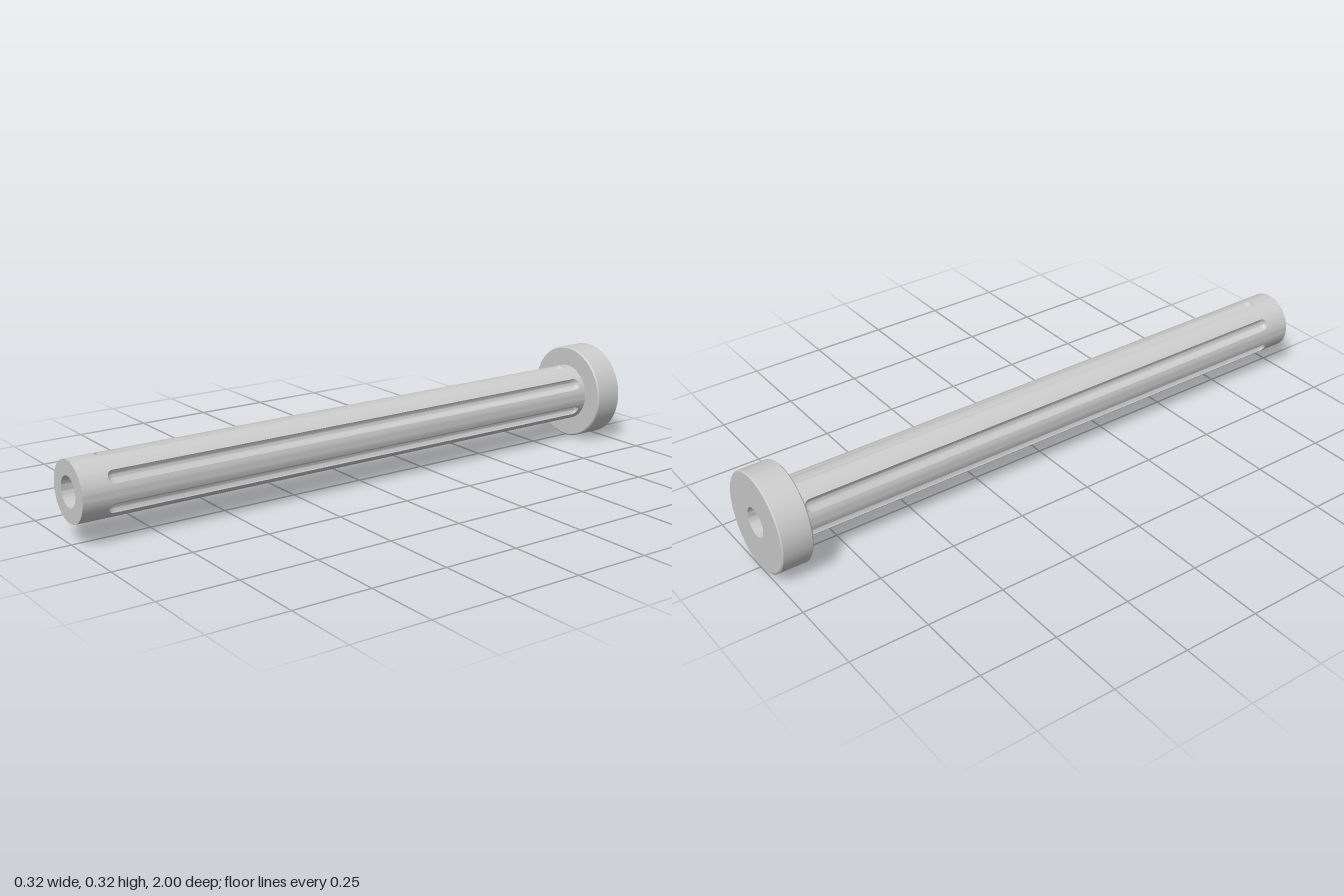
import * as THREE from 'three';
import { toCreasedNormals } from 'three/addons/utils/BufferGeometryUtils.js';

const HEAD_R = 0.158, SHAFT_R = 0.094, BORE_R = 0.047;
const BACK = -1, SHOULDER = -0.9, FRONT = 1;
const SLOTS = 6, SLOT_W = 0.02, SLOT_D = 0.016;
const SLOT_BACK = -0.88, SLOT_FRONT = 0.915;

const material = new THREE.MeshStandardMaterial({ color: 0xcccccc });

function addMesh(group, name, geometry) {
  const mesh = new THREE.Mesh(toCreasedNormals(geometry, 0.6), material);
  mesh.name = name;
  group.add(mesh);
}

// Profile of [radius, z] pairs turned about the z axis
function turned(profile) {
  const points = profile.map(([r, z]) => new THREE.Vector2(r, z));
  return new THREE.LatheGeometry(points, 72).rotateX(Math.PI / 2);
}

// Cylinder skin with round-ended, round-bottomed grooves sunk into it
function flutedShaft() {
  const steps = 6;
  const levels = [];
  for (let i = 0; i <= steps; i++) levels.push(SLOT_W * Math.cos((i / steps) * Math.PI / 2));

  // Columns: across each groove, then across the land to the next one
  const columns = [];
  const pitch = (2 * Math.PI) / SLOTS;
  const half = SLOT_W / SHAFT_R;
  for (let s = 0; s < SLOTS; s++) {
    const across = [...levels.map((u) => -u), ...levels.slice(0, -1).reverse()];
    across.forEach((u) => columns.push({ angle: s * pitch + u / SHAFT_R, u: Math.abs(u) }));
    for (let i = 1; i < 8; i++) {
      columns.push({ angle: s * pitch + half + (i / 8) * (pitch - 2 * half), u: SLOT_W });
    }
  }

  // Rows: nested contours of the groove's rounded ends
  const rows = [{ z: SHOULDER }];
  levels.forEach((w) => rows.push({ z: SLOT_BACK + SLOT_W, w, dir: -1 }));
  [...levels].reverse().forEach((w) => rows.push({ z: SLOT_FRONT - SLOT_W, w, dir: 1 }));
  rows.push({ z: FRONT });

  const positions = [], index = [];
  for (const row of rows) {
    for (const { angle, u } of columns) {
      let z = row.z, r = SHAFT_R;
      if (row.dir) {
        z += row.dir * Math.sqrt(Math.max(0, row.w ** 2 - u ** 2));
        const d = Math.min(1, Math.max(u, row.w) / SLOT_W);
        r -= SLOT_D * Math.sqrt(1 - d * d);
      }
      positions.push(r * Math.sin(angle), r * Math.cos(angle), z);
    }
  }

  // Skip triangles that collapse where contours meet
  const triangle = new THREE.Triangle();
  const point = (v, i) => v.fromArray(positions, i * 3);
  const addFace = (a, b, c) => {
    point(triangle.a, a);
    point(triangle.b, b);
    point(triangle.c, c);
    if (triangle.getArea() > 1e-10) index.push(a, b, c);
  };
  const n = columns.length;
  for (let k = 0; k < rows.length - 1; k++) {
    for (let j = 0; j < n; j++) {
      const a = k * n + j, b = k * n + ((j + 1) % n);
      addFace(a, a + n, b);
      addFace(b, a + n, b + n);
    }
  }
  const geometry = new THREE.BufferGeometry();
  geometry.setAttribute('position', new THREE.Float32BufferAttribute(positions, 3));
  geometry.setIndex(index);
  return geometry;
}

export function createModel() {
  const model = new THREE.Group();
  model.name = 'flutedSleeve';

  // Flanged head with lightly broken edges
  const bevel = 0.004;
  addMesh(model, 'head', turned([
    [BORE_R, BACK],
    [HEAD_R - bevel, BACK],
    [HEAD_R, BACK + bevel],
    [HEAD_R, SHOULDER - bevel],
    [HEAD_R - bevel, SHOULDER],
    [SHAFT_R, SHOULDER],
  ]));

  // Long shaft with six grooves
  addMesh(model, 'flutedShaft', flutedShaft());

  // Front end face and through bore
  addMesh(model, 'endFace', turned([[SHAFT_R, FRONT], [BORE_R, FRONT]]));
  addMesh(model, 'bore', turned([[BORE_R, FRONT], [BORE_R, BACK]]));

  model.position.y = HEAD_R;
  return model;
}
